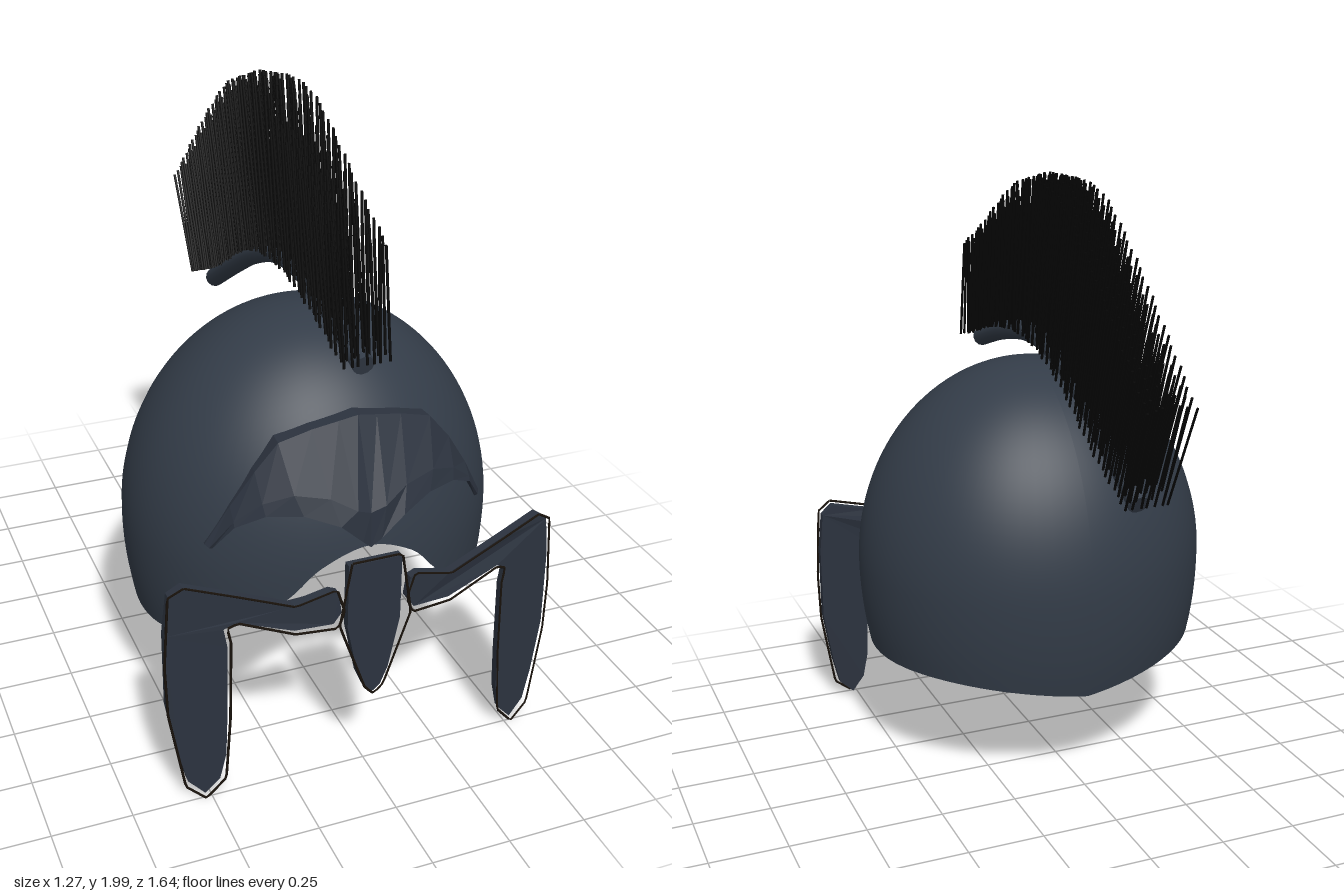
import * as THREE from 'three';

const steel = new THREE.MeshStandardMaterial({ color: 0x333c48, side: THREE.DoubleSide });
const plateSteel = new THREE.MeshStandardMaterial({ color: 0x2c333f, flatShading: true, side: THREE.DoubleSide });
const trimMat = new THREE.MeshStandardMaterial({ color: 0x1a130c });
const hairMat = new THREE.MeshStandardMaterial({ color: 0x050505 });

function mesh(name, geometry, material) {
  const m = new THREE.Mesh(geometry, material);
  m.name = name;
  return m;
}

// Skin a grid of points: rows run top to bottom, columns -x to +x across the front
function loft(rows) {
  const n = rows[0].length, index = [];
  for (let r = 0; r < rows.length - 1; r++) {
    for (let c = 0; c < n - 1; c++) {
      const a = r * n + c, b = a + n;
      index.push(a, b, a + 1, b, b + 1, a + 1);
    }
  }
  const g = new THREE.BufferGeometry().setFromPoints(rows.flat());
  g.setIndex(index);
  g.computeVertexNormals();
  return g;
}

// Half outline from the centre outward -> full row from -x to +x
function mirrorRow(half) {
  const right = half.map(p => new THREE.Vector3(...p));
  const left = right.slice(1).reverse().map(p => new THREE.Vector3(-p.x, p.y, p.z));
  return [...left, ...right];
}

// Egg-shaped bowl whose rim arches over the face and dips at the nape
function domeGeometry() {
  const half = [[0, .79], [.25, .735], [.47, .61], [.93, .45], [1.25, .41], [1.57, .4], [2.2, .4], [2.65, .38], [Math.PI, .34]];
  const pts = [...half.slice(1).reverse().map(([a, y]) => [-a, y]), ...half];
  const rim = new THREE.SplineCurve(pts.map(p => new THREE.Vector2(...p))).getPoints(96);
  const rows = [], steps = 36, cy = .68;
  for (let i = 0; i <= steps; i++) {
    rows.push(rim.map(({ x: a, y }) => {
      const end = Math.acos((y - cy) / (y > cy ? .68 : .9));
      const phi = end * i / steps, s = Math.sin(phi), c = Math.cos(phi);
      const depth = Math.cos(a) > 0 ? .52 : .55;
      return new THREE.Vector3(.59 * s * Math.sin(a), cy + (c > 0 ? .68 : .9) * c, .24 + depth * s * Math.cos(a));
    }));
  }
  return loft(rows);
}

// Raised brow plate with two eye arches and a nose peak
function browGeometry() {
  const top = [[0, 1.17, .65], [.06, 1.16, .648], [.14, 1.145, .642], [.24, 1.115, .632], [.31, 1.03, .625], [.38, .92, .605], [.45, .79, .575]];
  const low = [[0, .79, .765], [.03, .82, .775], [.1, .885, .775], [.2, .92, .735], [.3, .915, .69], [.38, .87, .645], [.43, .78, .59]];
  const mid = top.map((p, i) => [(p[0] + low[i][0]) / 2, p[1] * .3 + low[i][1] * .7, p[2] * .3 + low[i][2] * .7 + (i < 2 ? .03 : .005)]);
  const back = (row, d) => row.map(([x, y, z]) => [x * .98, y, z - d]);
  return loft([back(top, .06), top, mid, low, back(low, .05)].map(mirrorRow));
}

// Guard plates follow one shallow curve across the face
const bend = x => .775 - .21 * x * x;

function guardPlate(name, outline) {
  const group = new THREE.Group();
  group.name = name;
  const shape = new THREE.Shape(outline.map(p => new THREE.Vector2(...p)));
  const g = new THREE.ExtrudeGeometry(shape, { depth: .028, bevelEnabled: false });
  const p = g.attributes.position;
  for (let i = 0; i < p.count; i++) p.setZ(i, p.getZ(i) + bend(p.getX(i)));
  g.computeVertexNormals();
  group.add(mesh(name + 'Plate', g, plateSteel));
  return group;
}

// Thin wire running round a plate
function trim(name, outline) {
  const path = new THREE.CurvePath();
  const pts = outline.map(([x, y]) => new THREE.Vector3(x, y, bend(x) + .04));
  pts.forEach((p, i) => path.add(new THREE.LineCurve3(p, pts[(i + 1) % pts.length])));
  return mesh(name, new THREE.TubeGeometry(path, outline.length * 8, .004, 4, false), trimMat);
}

const curveZY = pts => new THREE.CatmullRomCurve3(pts.map(([z, y]) => new THREE.Vector3(0, y, z)));

export function createModel() {
  const model = new THREE.Group();
  model.name = 'helmet';
  model.add(mesh('dome', domeGeometry(), steel));
  model.add(mesh('browPlate', browGeometry().toNonIndexed(), plateSteel));

  // Nose guard
  const nose = [[-.085, .765], [-.085, .55], [-.05, .38], [-.025, .32], [0, .3], [.025, .32], [.05, .38], [.085, .55], [.085, .765]];
  const noseGuard = guardPlate('noseGuard', nose);
  noseGuard.add(trim('noseTrim', [[-.08, .78], [-.115, .57], [-.03, .33], [0, .3], [.03, .33], [.115, .57], [.08, .78]]));
  model.add(noseGuard);

  // Cheek guards, each with its strap towards the nose
  const cheek = [[.57, .765], [.61, .735], [.625, .6], [.625, .35], [.595, .17], [.57, .07], [.52, .02], [.475, .07],
    [.455, .16], [.45, .3], [.447, .55], [.457, .61], [.425, .63], [.25, .575], [.13, .575], [.105, .61], [.115, .68], [.14, .69], [.25, .66], [.42, .72]];
  const wire = [[.57, .77], [.615, .74], [.63, .5], [.625, .33], [.58, .06], [.52, .01], [.46, .08], [.445, .3], [.44, .57], [.45, .62],
    [.42, .635], [.25, .57], [.12, .565], [.1, .62], [.125, .7], [.25, .665], [.42, .725]];
  for (const s of [1, -1]) {
    const name = s > 0 ? 'leftCheekGuard' : 'rightCheekGuard';
    const side = pts => pts.map(([x, y]) => [s * x, y]);
    const guard = guardPlate(name, side(cheek));
    guard.add(trim(name + 'Trim', side(wire)));
    model.add(guard);
  }

  // Crest holder: a capped curved rod
  const rod = curveZY([[.68, 1.34], [.45, 1.41], [.2, 1.45], [0, 1.43], [-.2, 1.355], [-.4, 1.245], [-.625, 1.11]]);
  const holder = new THREE.Group();
  holder.name = 'crestHolder';
  holder.add(mesh('crestRod', new THREE.TubeGeometry(rod, 40, .033, 12), steel));
  for (const t of [0, 1]) {
    const cap = mesh('rodEnd', new THREE.CircleGeometry(.033, 12), steel);
    cap.position.copy(rod.getPoint(t));
    cap.lookAt(cap.position.clone().addScaledVector(rod.getTangent(t), t ? 1 : -1));
    holder.add(cap);
  }
  model.add(holder);

  // Crest bristles: seven files of thin hairs fanning from the rod
  const base = curveZY([[.7, 1.35], [.45, 1.425], [.2, 1.465], [0, 1.445], [-.2, 1.37], [-.45, 1.225], [-.68, 1.12]]);
  const tips = curveZY([[.65, 1.7], [.47, 1.79], [.3, 1.89], [.13, 1.975], [-.02, 1.995], [-.2, 1.965], [-.4, 1.83], [-.6, 1.66], [-.82, 1.46]]);
  const bristles = new THREE.Group();
  bristles.name = 'crestBristles';
  const up = new THREE.Vector3(0, 1, 0), rows = 50, files = 7;
  const hair = new THREE.CylinderGeometry(.0045, .0045, 1, 4);
  for (let i = 0; i < rows; i++) {
    const t = i / (rows - 1);
    for (let f = 0; f < files; f++) {
      const k = f - (files - 1) / 2, wobble = .004 * Math.sin(i * 1.7 + f * 2.3);
      const a = base.getPointAt(t), b = tips.getPointAt(t);
      a.x = k * .023 + wobble;
      b.x = k * .025 - wobble;
      b.y -= Math.abs(k) * .006;
      const h = mesh('bristle', hair, hairMat), d = b.clone().sub(a);
      h.position.copy(a).add(b).multiplyScalar(.5);
      h.scale.y = d.length();
      h.quaternion.setFromUnitVectors(up, d.normalize());
      bristles.add(h);
    }
  }
  model.add(bristles);
  return model;
}
